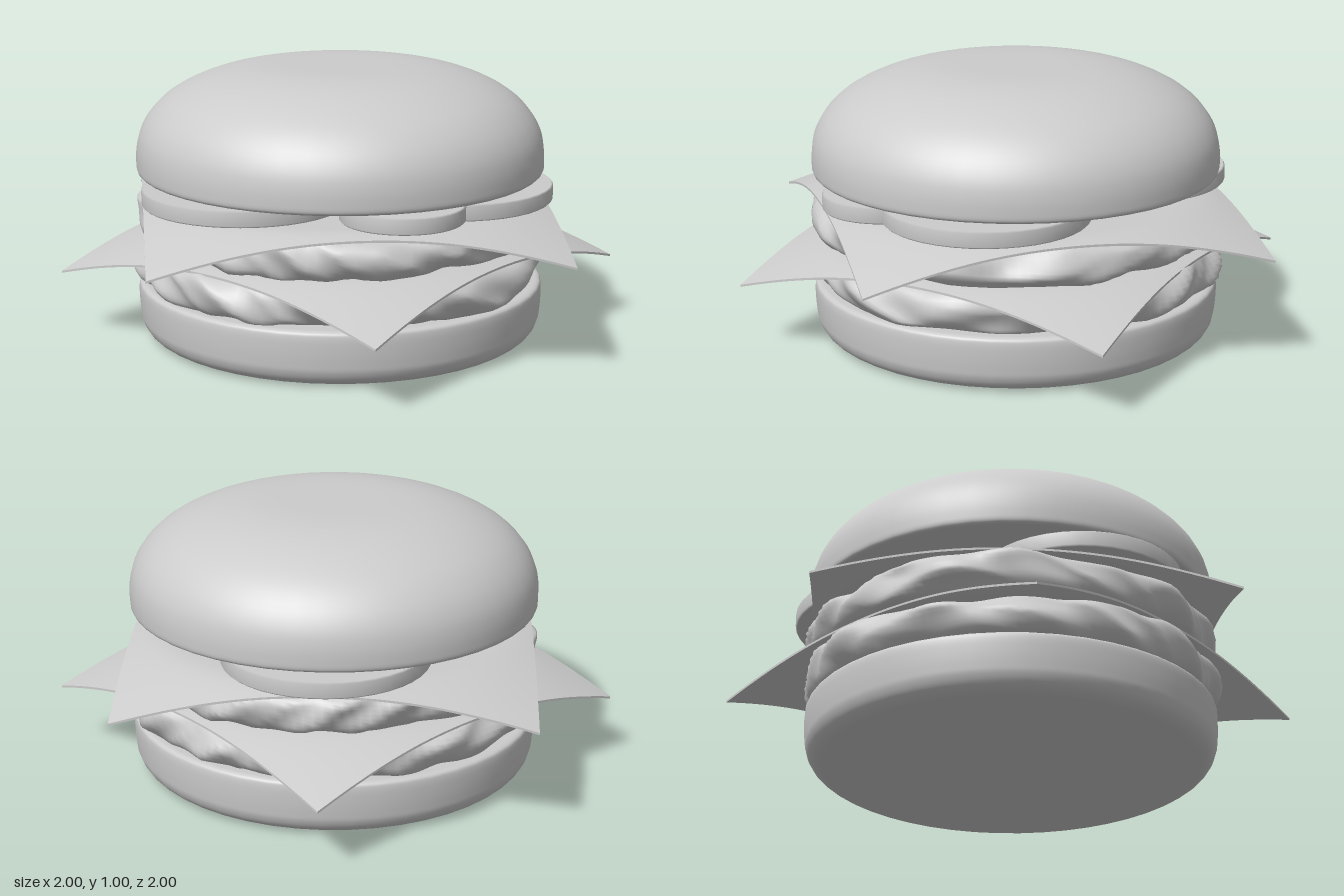
import * as THREE from 'three';
import { mergeVertices } from 'three/addons/utils/BufferGeometryUtils.js';

const material = new THREE.MeshStandardMaterial({ color: 0xcccccc });

function addPart(group, name, geometry) {
  const mesh = new THREE.Mesh(geometry, material);
  mesh.name = name;
  group.add(mesh);
  return mesh;
}

// Round profile turned about y: flat bottom, smooth side curve, flat top
function bunGeometry(points) {
  const curve = new THREE.CatmullRomCurve3(points.map(([r, y]) => new THREE.Vector3(r, y, 0)), false, 'centripetal');
  const side = curve.getPoints(40).map(p => new THREE.Vector2(p.x, p.y));
  return new THREE.LatheGeometry([
    new THREE.Vector2(0, points[0][1]), ...side, new THREE.Vector2(0, points.at(-1)[1]),
  ], 48);
}

// Lumpy, creased surface offset from layered sine waves
function lumps(x, y, z, seed) {
  const a = Math.sin(9 * x + 13 * y + seed) + Math.sin(10 * z - 11 * y + 2 * seed);
  const b = Math.sin(21 * x + 9 * z + 27 * y + 3 * seed) + Math.sin(23 * z - 8 * x - 31 * y + seed);
  const c = Math.abs(Math.sin(15 * x - 12 * z + 24 * y + seed));
  return 0.009 * a + 0.008 * b - 0.016 * c;
}

// Thick disc with a rounded rim, roughened mostly around the rim
function pattyGeometry(seed) {
  const R = 0.75, half = 0.078, profile = [];
  for (let i = 0; i <= 4; i++) profile.push(new THREE.Vector2(0.15 * i, -half));
  for (let i = 0; i <= 16; i++) {
    const t = -Math.PI / 2 + Math.PI * i / 16;
    profile.push(new THREE.Vector2(R - 0.1 + 0.1 * Math.pow(Math.cos(t) + 1e-9, 0.7), half * Math.sin(t)));
  }
  for (let i = 4; i >= 0; i--) profile.push(new THREE.Vector2(0.15 * i, half));
  let geometry = new THREE.LatheGeometry(profile, 144);
  geometry.deleteAttribute('uv');
  geometry.deleteAttribute('normal');
  geometry = mergeVertices(geometry, 1e-4);
  const pos = geometry.attributes.position;
  for (let i = 0; i < pos.count; i++) {
    const x = pos.getX(i), y = pos.getY(i), z = pos.getZ(i), r = Math.hypot(x, z);
    if (r < 0.61) continue;
    const d = lumps(x, y, z, seed) + 0.012, k = 1 + d / r;
    const lift = y + 0.4 * lumps(z, y, x, seed + 4);
    pos.setXYZ(i, x * k, THREE.MathUtils.clamp(lift, -half, half), z * k);
  }
  geometry.computeVertexNormals();
  return geometry;
}

// Square slice that lies flat on the patty and droops beyond its rim
function cheeseGeometry() {
  const geometry = new THREE.BoxGeometry(1.464, 0.008, 1.464, 40, 1, 40);
  const pos = geometry.attributes.position;
  for (let i = 0; i < pos.count; i++) {
    const over = Math.max(0, Math.hypot(pos.getX(i), pos.getZ(i)) - 0.66);
    pos.setY(i, pos.getY(i) - 0.42 * over * over / (over + 0.1) - 0.02 * over);
  }
  geometry.computeVertexNormals();
  return geometry;
}

export function createModel() {
  const model = new THREE.Group();
  model.name = 'burger';

  // Buns
  addPart(model, 'bottomBun', bunGeometry([
    [0.66, 0], [0.695, 0.007], [0.725, 0.028], [0.742, 0.06], [0.747, 0.09],
    [0.751, 0.14], [0.751, 0.185], [0.747, 0.2], [0.735, 0.207], [0.71, 0.208],
  ]));
  addPart(model, 'topBun', bunGeometry([
    [0.71, 0.612], [0.738, 0.613], [0.749, 0.622], [0.752, 0.65], [0.75, 0.7], [0.738, 0.755],
    [0.707, 0.815], [0.65, 0.876], [0.57, 0.926], [0.46, 0.968], [0.34, 0.992], [0.22, 1], [0.1, 1],
  ]));

  // Two patties, each topped with a turned cheese slice
  [['lower', 0.288, 15, 1], ['upper', 0.452, 60, 5.3]].forEach(([level, y, turn, seed]) => {
    addPart(model, `${level}Patty`, pattyGeometry(seed)).position.y = y;
    const cheese = addPart(model, `${level}Cheese`, cheeseGeometry());
    cheese.position.y = y + 0.083;
    cheese.rotation.y = THREE.MathUtils.degToRad(turn);
  });

  // Pickle slices: three large, one small, with slightly staggered heights
  const pickles = new THREE.Group();
  pickles.name = 'pickles';
  [[0, 0.425, 0.37], [-0.37, -0.22, 0.37], [0.375, -0.22, 0.37], [0.54, 0.13, 0.22]].forEach(([x, z, r], i) => {
    const h = 0.06, bevel = 0.006;
    const profile = [[0, -h / 2], [r - bevel, -h / 2], [r, -h / 2 + bevel], [r, h / 2 - bevel], [r - bevel, h / 2], [0, h / 2]];
    const pickle = addPart(pickles, 'pickle',
      new THREE.LatheGeometry(profile.map(p => new THREE.Vector2(...p)), 40));
    pickle.position.set(x, 0.569 + 0.001 * i, z);
  });
  model.add(pickles);
  return model;
}
